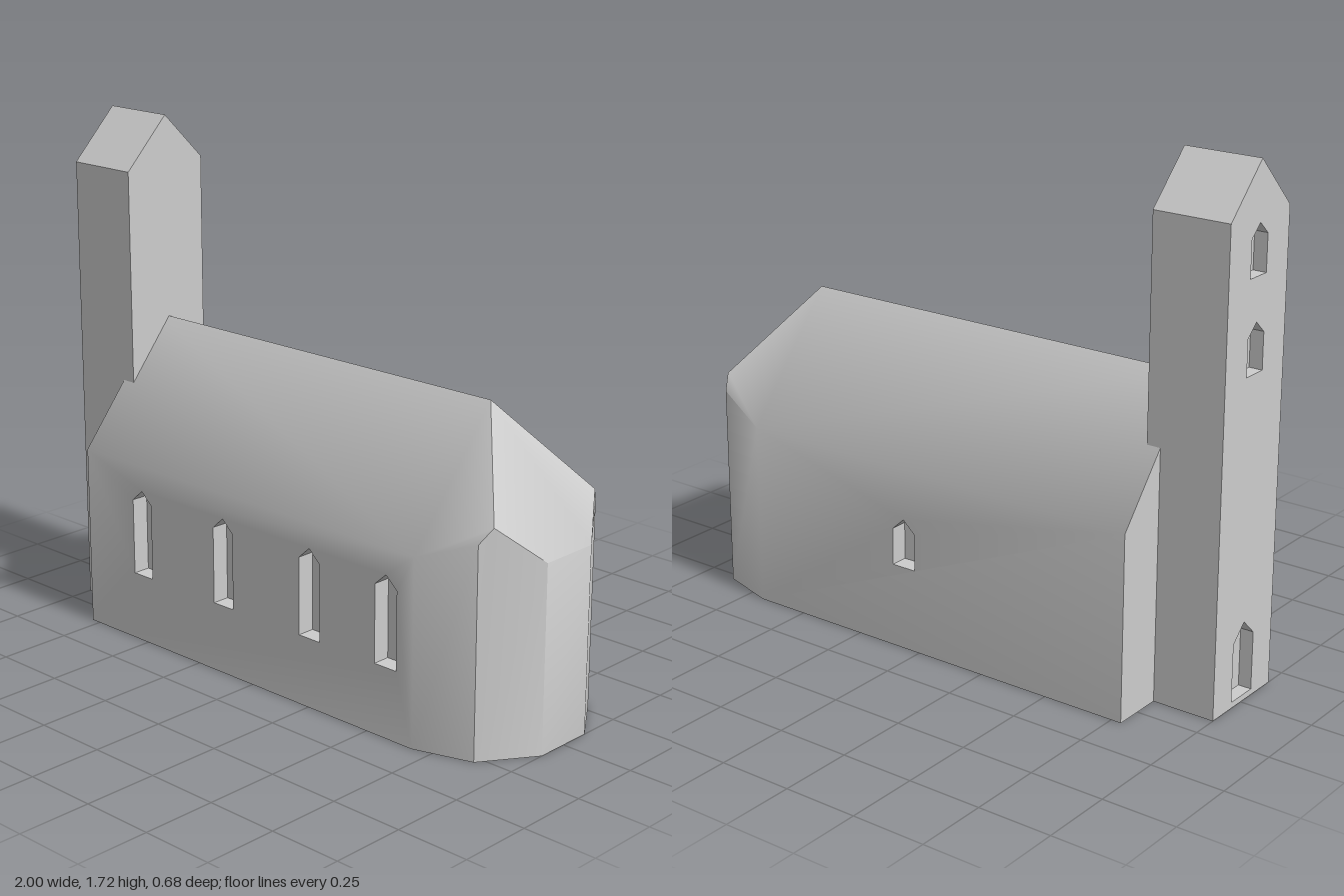
import * as THREE from 'three';
import { toCreasedNormals } from 'three/addons/utils/BufferGeometryUtils.js';

const stone = new THREE.MeshStandardMaterial({ color: 0xcccccc });
stone.name = 'pale stone';

// Fan of triangles over a convex polygon
function fan(out, pts) {
  for (let i = 1; i < pts.length - 1; i++) out.push(pts[0], pts[i], pts[i + 1]);
}

// Flat wall with recessed pointed openings; place(u, v, depth) sets it in space
function wall(out, outline, openings, depth, place) {
  const v2 = ([x, y]) => new THREE.Vector2(x, y);
  const shape = new THREE.Shape(outline.map(v2));
  for (const [u, bottom, shoulder, peak, width] of openings) {
    const h = width / 2;
    const loop = [[u - h, bottom], [u + h, bottom], [u + h, shoulder], [u, peak], [u - h, shoulder]];
    shape.holes.push(new THREE.Path(loop.map(v2)));
    loop.forEach((p, i) => {
      const q = loop[(i + 1) % loop.length];
      fan(out, [place(...p, 0), place(...q, 0), place(...q, depth), place(...p, depth)]);
    });
    fan(out, loop.map((p) => place(...p, depth)));
  }
  const geo = new THREE.ShapeGeometry(shape);
  const pos = geo.attributes.position;
  for (const i of geo.index.array) out.push(place(pos.getX(i), pos.getY(i), 0));
}

function makeMesh(name, points) {
  const geo = new THREE.BufferGeometry();
  geo.setAttribute('position', new THREE.Float32BufferAttribute(points.flat(), 3));
  const mesh = new THREE.Mesh(toCreasedNormals(geo, 0.75), stone);
  mesh.name = name;
  return mesh;
}

const mirror = (pts) => pts.map(([x, y, z]) => [x, y, -z]).reverse();

export function createModel() {
  const group = new THREE.Group();
  group.name = 'church';

  // Nave dimensions
  const west = -0.785, east = 0.685, half = 0.34, eave = 0.62, ridge = 1.03;
  const onRoof = (x, z) => [x, ridge - (z * (ridge - eave)) / half, z];
  const hip = onRoof(0.905, 0.24), corner = onRoof(0.88, 0.28);
  const ridgeEast = [east, ridge, 0], ridgeWest = [west, ridge, 0];
  const apseTop = [1, eave, 0.105];
  const ground = ([x, , z]) => [x, 0, z];
  const flip = ([x, y, z]) => [x, y, -z];

  const roof = [[east, eave, half], corner, hip, ridgeEast, ridgeWest, [west, eave, half]];
  const chamfer = [[east, 0, half], ground(corner), corner, [east, eave, half]];
  const apseSide = [ground(corner), ground(apseTop), apseTop, hip, corner];

  // Front side with four tall windows
  const front = [];
  wall(front, [[west, 0], [east, 0], [east, eave], [west, eave]],
    [-0.515, -0.13, 0.255, 0.575].map((x) => [x, 0.235, 0.495, 0.535, 0.088]),
    0.06, (u, v, d) => [u, v, half - d]);
  fan(front, roof);
  fan(front, chamfer);
  group.add(makeMesh('naveFrontSide', front));

  // Back side with one small window, joined to the faceted apse
  const back = [];
  wall(back, [[-east, 0], [-west, 0], [-west, eave], [-east, eave]],
    [[-0.06, 0.285, 0.41, 0.45, 0.088]], 0.06, (u, v, d) => [-u, v, d - half]);
  const backRoof = mirror(roof);
  fan(back, [backRoof[5], ...backRoof.slice(0, 5)]);
  fan(back, mirror(chamfer));
  fan(back, apseSide);
  fan(back, mirror(apseSide));
  fan(back, [ground(apseTop), flip(ground(apseTop)), flip(apseTop), apseTop]);
  fan(back, [ridgeEast, hip, apseTop, flip(apseTop), flip(hip)]);
  group.add(makeMesh('naveBackSideAndApse', back));

  // West gable and floor
  const ends = [];
  fan(ends, [[west, 0, -half], [west, 0, half], [west, eave, half], ridgeWest, [west, eave, -half]]);
  const edge = [[west, 0, half], [east, 0, half], ground(corner), ground(apseTop)];
  fan(ends, [...edge, ...mirror(edge)].reverse());
  group.add(makeMesh('westGableAndFloor', ends));

  // Tower with gabled top, two belfry windows and a door on the west face
  const tower = [];
  const x0 = -1, x1 = -0.737, zb = -0.16, zf = 0.168, yb = 1.56, yf = 1.55, top = 1.72;
  const gable = [[zb, 0], [zf, 0], [zf, yf], [0, top], [zb, yb]];
  wall(tower, gable, [
    [0.003, 0.02, 0.215, 0.27, 0.115],
    [0.003, 1.07, 1.19, 1.23, 0.088],
    [0.003, 1.37, 1.49, 1.53, 0.088],
  ], 0.045, (u, v, d) => [x0 + d, v, u]);
  fan(tower, gable.map(([z, y]) => [x1, y, z]).reverse());
  gable.forEach(([z, y], i) => {
    const [z2, y2] = gable[(i + 1) % gable.length];
    fan(tower, [[x0, y2, z2], [x0, y, z], [x1, y, z], [x1, y2, z2]]);
  });
  group.add(makeMesh('tower', tower));

  return group;
}
